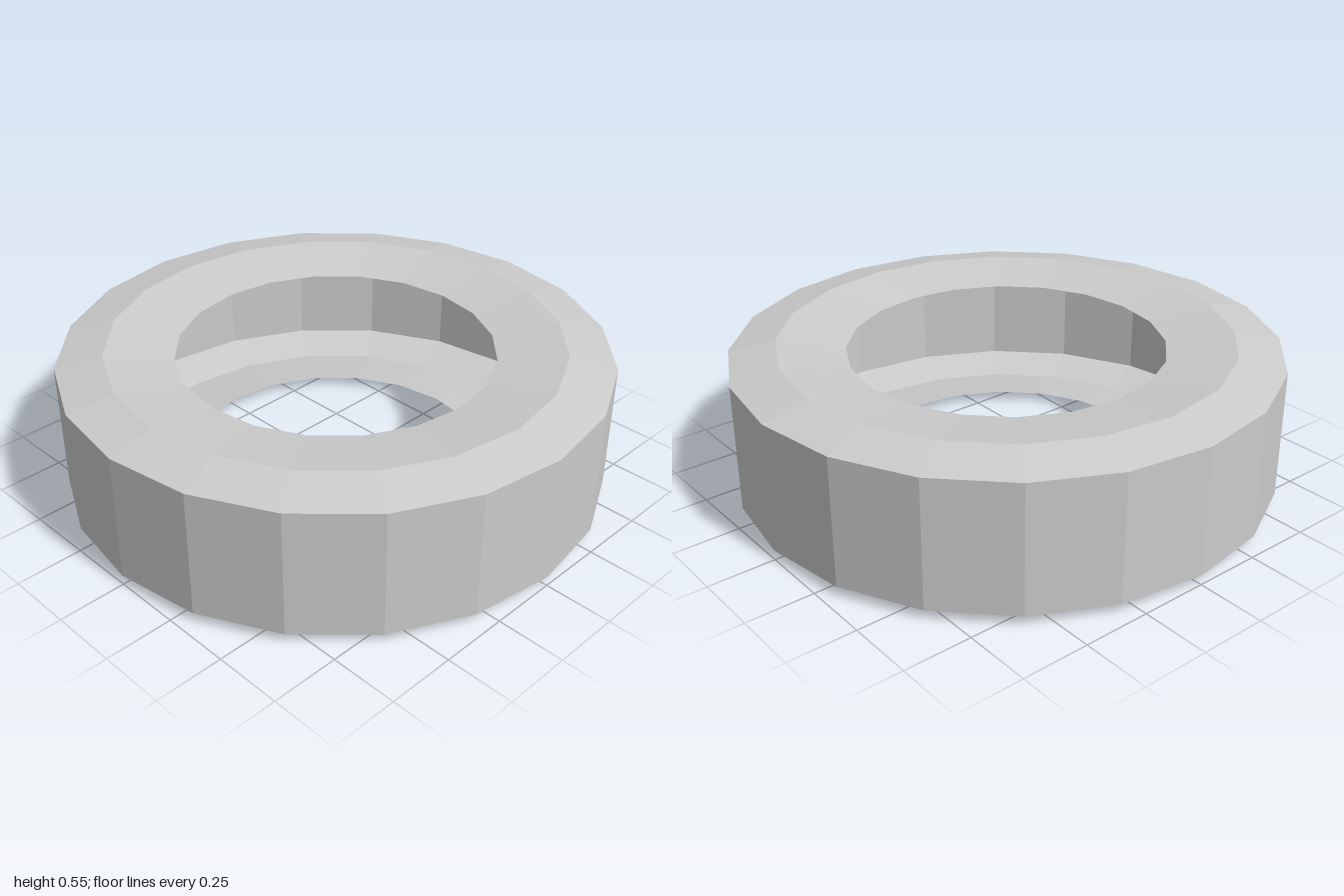
import * as THREE from 'three';

export function createModel() {
  const model = new THREE.Group();
  model.name = 'tire';
  const material = new THREE.MeshStandardMaterial({
    color: 0xcccccc, flatShading: true, side: THREE.DoubleSide,
  });

  // Open, hollow casing: lower bead, lower sidewall, tread, upper sidewall, upper bead
  const height = 0.546, bevel = 0.036;
  const lower = [[0.58, bevel], [0.83, 0], [1, bevel]];
  const upper = lower.map(([r, y]) => [r, height - y]).reverse();
  const profile = [...lower, ...upper].map(([r, y]) => new THREE.Vector2(r, y));

  const casing = new THREE.Mesh(new THREE.LatheGeometry(profile, 20), material);
  casing.name = 'tireCasing';
  model.add(casing);
  return model;
}
